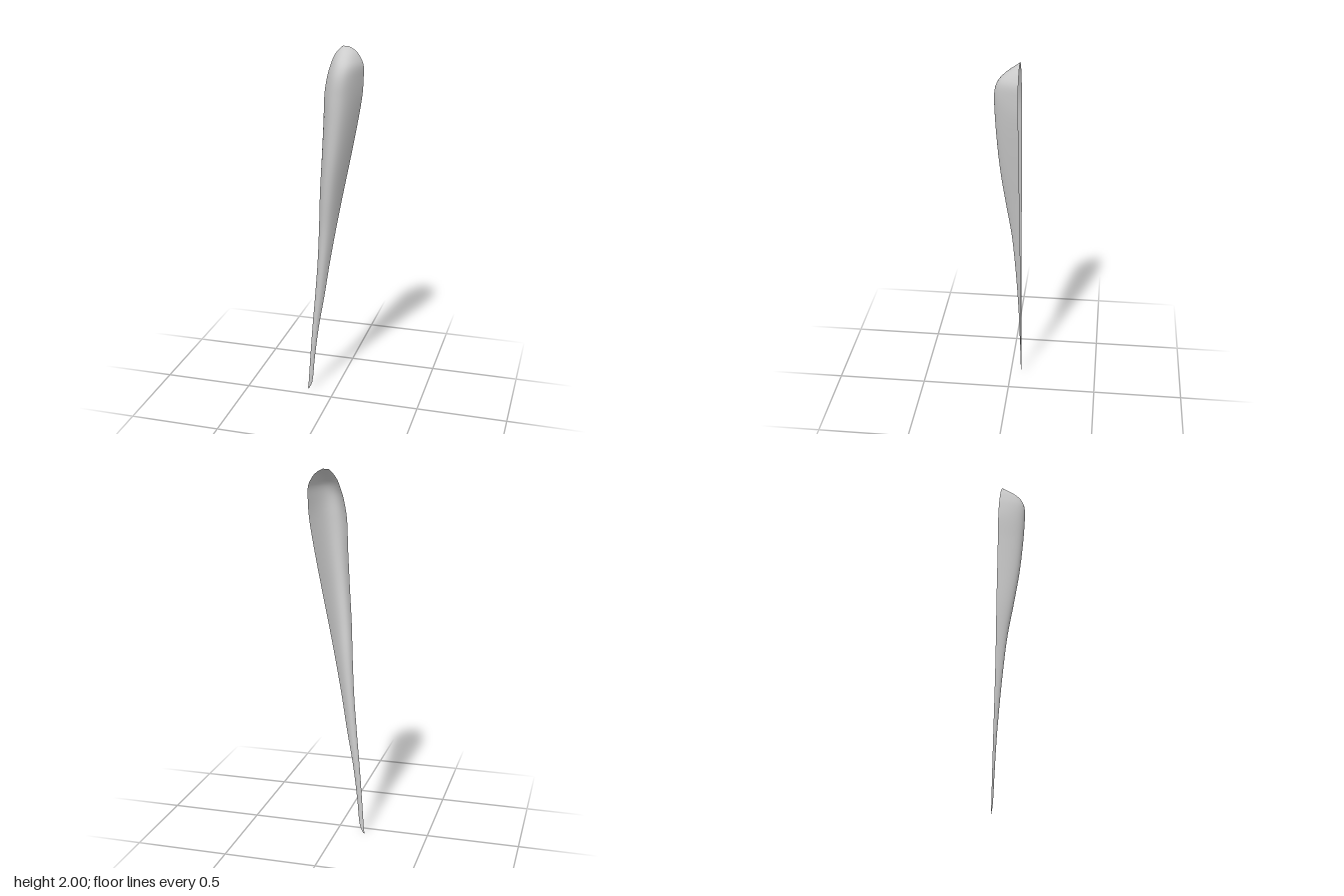
import * as THREE from 'three';

// Stations up the shell: height, left-hand edge x, right-hand edge x, bulge depth
const stations = [
  [0, -0.157, -0.15, 0], [0.05, -0.152, -0.13, 0.004], [0.2, -0.142, -0.115, 0.008],
  [0.4, -0.127, -0.09, 0.013], [0.6, -0.11, -0.056, 0.021], [0.8, -0.095, -0.025, 0.033],
  [1.0, -0.086, 0.01, 0.05], [1.2, -0.08, 0.048, 0.079], [1.4, -0.069, 0.088, 0.105],
  [1.6, -0.059, 0.126, 0.121], [1.75, -0.053, 0.15, 0.128], [1.85, -0.036, 0.156, 0.127],
  [1.91, -0.017, 0.154, 0.108], [1.95, 0, 0.136, 0.072], [1.98, 0.022, 0.112, 0.032],
  [2.0, 0.045, 0.075, 0],
];
const BACK = -0.064;

// Linear-in-height interpolation with smooth (Hermite) slopes
function sample(y, k) {
  let i = 0;
  while (i < stations.length - 2 && y > stations[i + 1][0]) i++;
  const slope = (n) => {
    const a = stations[Math.max(0, n - 1)], b = stations[Math.min(stations.length - 1, n + 1)];
    return (b[k] - a[k]) / (b[0] - a[0]);
  };
  const p = stations[i], q = stations[i + 1], h = q[0] - p[0], t = (y - p[0]) / h;
  const t2 = t * t, t3 = t2 * t;
  return (2 * t3 - 3 * t2 + 1) * p[k] + (t3 - 2 * t2 + t) * h * slope(i)
    + (3 * t2 - 2 * t3) * q[k] + (t3 - t2) * h * slope(i + 1);
}

export function createModel() {
  const group = new THREE.Group();
  group.name = 'taperedShell';

  // Open-backed shell: a sheet whose rows become arched cross-sections
  const geometry = new THREE.PlaneGeometry(2, 2, 32, 140);
  const pos = geometry.attributes.position;
  for (let i = 0; i < pos.count; i++) {
    const t = pos.getX(i);
    const y = THREE.MathUtils.clamp(pos.getY(i) + 1, 0, 2);
    const left = sample(y, 1), right = sample(y, 2), depth = Math.max(0, sample(y, 3));
    const x = (left + right) / 2 + t * (right - left) / 2;
    pos.setXYZ(i, x, y, BACK + depth * (1 - Math.pow(Math.abs(t), 2.2)));
  }
  geometry.computeVertexNormals();

  const shell = new THREE.Mesh(geometry,
    new THREE.MeshStandardMaterial({ color: 0xcccccc, side: THREE.DoubleSide }));
  shell.name = 'shell';
  group.add(shell);
  return group;
}
